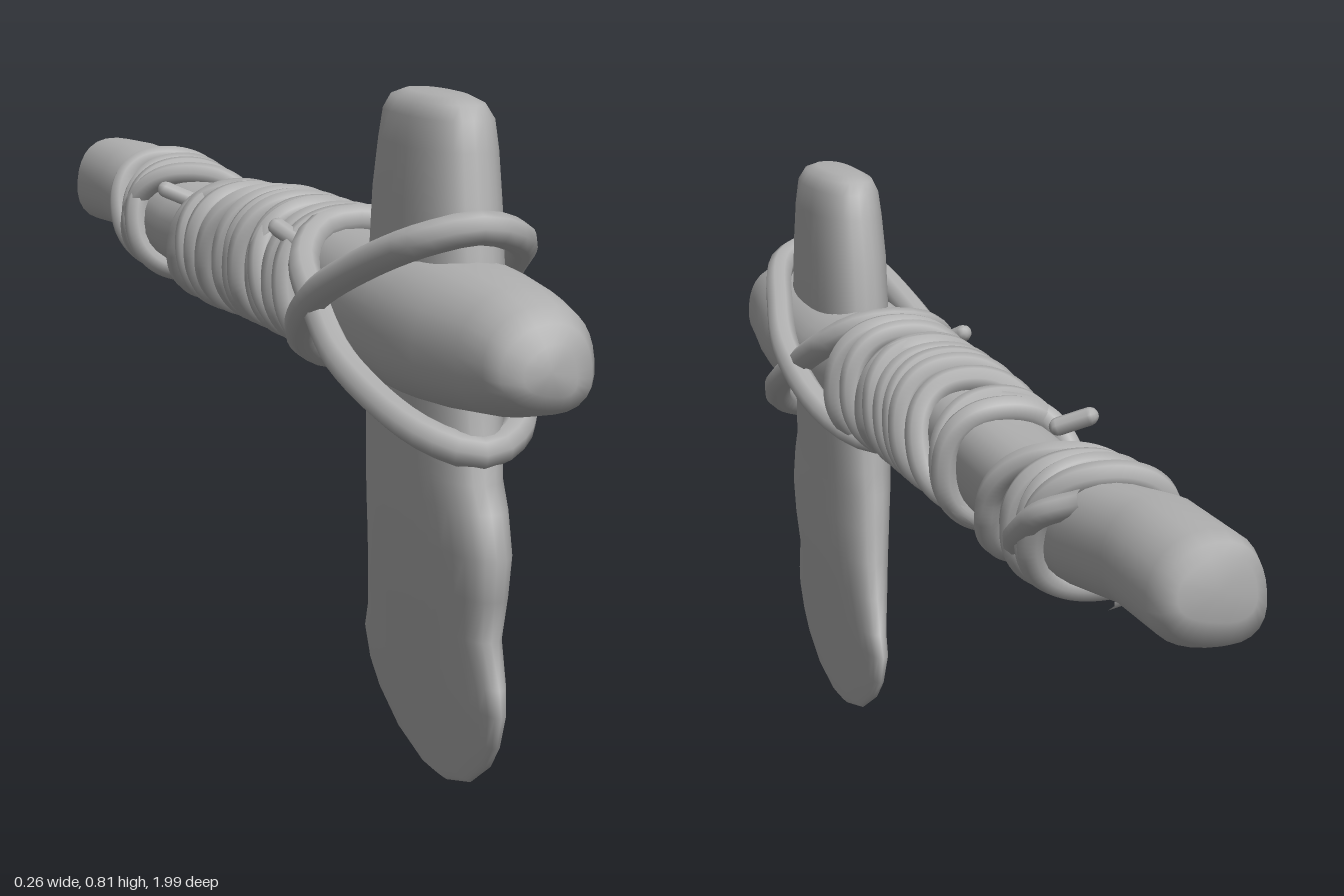
import * as THREE from 'three';

const grey = new THREE.MeshStandardMaterial({ color: 0xb0b0b0 });
grey.name = 'plain grey';

// Skin closed rings of points; the ends are closed by collapsing to a centre
function loft(rings) {
  const n = rings[0].length;
  const centre = (r) => {
    const c = r.reduce((s, p) => s.add(p), new THREE.Vector3()).divideScalar(n);
    return r.map(() => c.clone());
  };
  const all = [centre(rings[0]), ...rings, centre(rings[rings.length - 1])];
  const index = [];
  for (let i = 0; i < all.length - 1; i++) {
    for (let j = 0; j < n; j++) {
      const k = (j + 1) % n, a = i * n, b = a + n;
      index.push(a + j, a + k, b + k, a + j, b + k, b + j);
    }
  }
  const geo = new THREE.BufferGeometry().setFromPoints(all.flat());
  geo.setIndex(index);
  geo.computeVertexNormals();
  return geo;
}

// Rounded-box style cross-section: exponent 2 is an ellipse, higher is squarer
function superEllipse(a, e) {
  const f = (v) => Math.sign(v) * Math.abs(v) ** (2 / e);
  return [f(Math.cos(a)), f(Math.sin(a))];
}

// Handle sections: z, centre x, centre y, half width, half height
const HANDLE = [
  [-0.995, -0.008, 0.57, 0.045, 0.036], [-0.985, -0.008, 0.563, 0.06, 0.057],
  [-0.95, -0.01, 0.56, 0.068, 0.066], [-0.8, -0.008, 0.565, 0.068, 0.066],
  [-0.65, 0, 0.55, 0.068, 0.064], [-0.45, 0, 0.538, 0.068, 0.064],
  [-0.2, -0.005, 0.543, 0.068, 0.066], [0, -0.003, 0.553, 0.07, 0.07],
  [0.2, -0.003, 0.555, 0.07, 0.07], [0.35, 0, 0.553, 0.08, 0.076],
  [0.5, 0, 0.55, 0.095, 0.082], [0.7, 0, 0.554, 0.098, 0.085],
  [0.8, 0, 0.555, 0.088, 0.081], [0.9, 0.002, 0.556, 0.072, 0.073],
  [0.96, 0.004, 0.556, 0.064, 0.06], [0.985, 0.004, 0.552, 0.052, 0.047],
  [0.998, 0.004, 0.55, 0.03, 0.028],
];

// Handle section interpolated at any z
function sectionAt(z) {
  let i = 0;
  while (i < HANDLE.length - 2 && HANDLE[i + 1][0] < z) i++;
  const a = HANDLE[i], b = HANDLE[i + 1], t = (z - a[0]) / (b[0] - a[0]);
  return a.map((v, k) => v + (b[k] - v) * t);
}

function handlePoint(z, a, lift = 0) {
  const [, cx, cy, rx, ry] = sectionAt(z);
  const [u, v] = superEllipse(a, 2.3);
  return new THREE.Vector3(cx + u * (rx + lift), cy + v * (ry + lift), z);
}

function handleGeometry() {
  return loft(HANDLE.map(([z]) => Array.from({ length: 28 }, (_, j) => {
    const a = (j / 28) * Math.PI * 2;
    return handlePoint(z, a, 0.0025 * Math.sin(3 * a + z * 4));
  })));
}

// Stone head sections: y, back z, front z, centre x, half thickness
const HEAD = [
  [0.006, 0.55, 0.65, 0.01, 0.003], [0.025, 0.46, 0.73, 0.01, 0.006],
  [0.06, 0.39, 0.795, 0.009, 0.012], [0.09, 0.36, 0.825, 0.008, 0.017],
  [0.13, 0.35, 0.842, 0.007, 0.024], [0.16, 0.368, 0.835, 0.007, 0.028],
  [0.21, 0.39, 0.812, 0.005, 0.036], [0.26, 0.403, 0.825, 0.004, 0.042],
  [0.31, 0.412, 0.836, 0.002, 0.046], [0.36, 0.42, 0.822, 0, 0.048],
  [0.39, 0.426, 0.8, 0, 0.049], [0.5, 0.437, 0.785, 0, 0.054],
  [0.62, 0.445, 0.77, 0.004, 0.056], [0.7, 0.455, 0.755, 0.005, 0.055],
  [0.76, 0.47, 0.742, 0.006, 0.052], [0.795, 0.48, 0.734, 0.006, 0.048],
  [0.812, 0.495, 0.72, 0.005, 0.039], [0.82, 0.525, 0.69, 0.005, 0.024],
];

function headGeometry() {
  return loft(HEAD.map(([y, z0, z1, cx, t]) => Array.from({ length: 32 }, (_, j) => {
    const [u, v] = superEllipse((j / 32) * Math.PI * 2, 2.5);
    return new THREE.Vector3(cx + v * t, y, (z0 + z1) / 2 + (u * (z1 - z0)) / 2);
  })));
}

function cord(points, radius, closed) {
  const curve = new THREE.CatmullRomCurve3(points, closed);
  return new THREE.TubeGeometry(curve, points.length * 4, radius, 8, closed);
}

// Closed loop round the handle, leaning by lean (top) and skew (side)
function ringPoints(z, lean, skew, lift) {
  return Array.from({ length: 18 }, (_, j) => {
    const a = (j / 18) * Math.PI * 2;
    return handlePoint(z + lean * Math.sin(a) + skew * Math.cos(a), a, lift);
  });
}

// Spiral between two stations of the handle
function spiralPoints(z0, z1, start, turns, lift) {
  const n = Math.ceil(turns * 18);
  return Array.from({ length: n + 1 }, (_, i) => {
    const t = i / n;
    return handlePoint(z0 + (z1 - z0) * t, start + t * turns * Math.PI * 2, lift);
  });
}

// Half of a lashing from the blade to the handle, mirrored into a full loop
function lashingPoints(half) {
  const right = half.map((p) => new THREE.Vector3(...p));
  const left = right.slice(1, -1).reverse().map((p) => new THREE.Vector3(-p.x, p.y, p.z));
  return [...right, ...left];
}

export function createModel() {
  const group = new THREE.Group();
  group.name = 'stoneAxe';
  const add = (geo, name) => {
    const mesh = new THREE.Mesh(geo, grey);
    mesh.name = name;
    group.add(mesh);
  };

  add(handleGeometry(), 'handle');
  add(headGeometry(), 'stoneHead');

  // Crossed lashings holding the head
  add(cord(lashingPoints([
    [0, 0.68, 0.775], [0.055, 0.665, 0.745], [0.098, 0.612, 0.6], [0.112, 0.565, 0.49],
    [0.09, 0.505, 0.37], [0.05, 0.475, 0.315], [0, 0.466, 0.3],
  ]), 0.02, true), 'upperLashing');
  add(cord(lashingPoints([
    [0, 0.426, 0.79], [0.055, 0.443, 0.75], [0.102, 0.5, 0.6], [0.101, 0.547, 0.49],
    [0.086, 0.6, 0.37], [0.05, 0.63, 0.325], [0, 0.638, 0.315],
  ]), 0.02, true), 'lowerLashing');

  // Binding turns: z, lean, skew
  const turns = [
    [0.3, -0.015, 0.01], [0.235, 0.006, 0.006], [0.165, -0.025, 0.004], [0.135, 0.012, -0.008],
    [0.065, 0.012, 0.006], [0.025, 0.018, -0.004], [-0.015, 0.014, 0.006],
    [-0.1, 0.03, 0.01], [-0.185, 0.012, -0.012], [-0.215, -0.012, 0.006],
    [-0.535, -0.016, 0.008], [-0.575, -0.012, -0.01], [-0.62, -0.035, 0.02],
  ];
  turns.forEach(([z, lean, skew]) =>
    add(cord(ringPoints(z, lean, skew, 0.008), 0.019, true), 'bindingTurn'));

  // Long diagonal turns between the bound stretches
  add(cord(spiralPoints(-0.2, -0.64, Math.PI / 2, 1.5, 0.01), 0.017, false), 'diagonalBinding');
  add(cord([
    [0.04, 0.6, -0.68], [0.078, 0.58, -0.64], [0.088, 0.55, -0.59],
    [0.076, 0.52, -0.53], [0.04, 0.48, -0.47],
  ].map((p) => new THREE.Vector3(...p)), 0.016, false), 'looseBinding');

  // Short loose cord ends
  [[-0.06, 0.6, -0.27, -0.095, 0.615, -0.29], [-0.06, 0.6, 0.31, -0.09, 0.625, 0.265]].forEach((p) => {
    const a = new THREE.Vector3(...p.slice(0, 3)), b = new THREE.Vector3(...p.slice(3));
    const dir = b.clone().sub(a);
    const end = new THREE.CapsuleGeometry(0.012, dir.length(), 4, 8);
    end.applyQuaternion(new THREE.Quaternion().setFromUnitVectors(
      new THREE.Vector3(0, 1, 0), dir.clone().normalize()));
    const mid = a.add(b).multiplyScalar(0.5);
    add(end.translate(mid.x, mid.y, mid.z), 'cordEnd');
  });

  return group;
}
